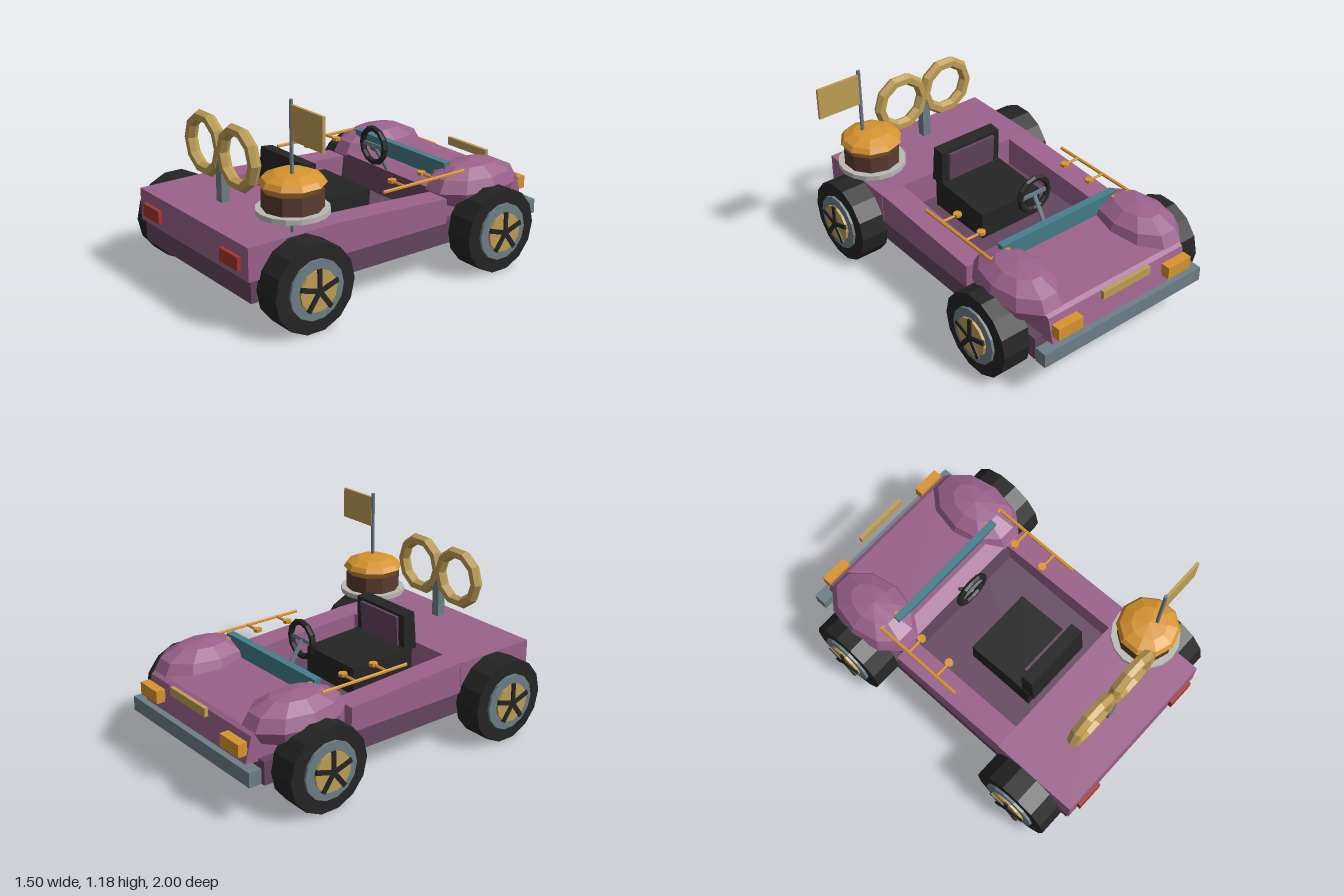
import * as THREE from 'three';

const mat = (name, color) => {
  const m = new THREE.MeshStandardMaterial({ color, flatShading: true });
  m.name = name;
  return m;
};

export function createModel() {
  const pink = mat('pink paint', 0x9c628c), plum = mat('dark plum', 0x64465f);
  const black = mat('black rubber', 0x252525), steel = mat('steel', 0x6d7f88);
  const gold = mat('pale gold', 0xbf9e55), orange = mat('orange', 0xd8942f);
  const teal = mat('teal glass', 0x457f8c), red = mat('red lens', 0xa3352c);
  const brown = mat('brown', 0x5b3c30), pale = mat('pale grey', 0xb9bab3);

  const model = new THREE.Group();
  const car = new THREE.Group();
  car.name = 'car';
  car.position.x = -0.018;
  model.add(car);

  const add = (name, geo, material, x = 0, y = 0, z = 0, parent = car) => {
    const m = new THREE.Mesh(geo, material);
    m.name = name;
    m.position.set(x, y, z);
    parent.add(m);
    return m;
  };
  // box given by its limits
  const box = (name, material, x0, x1, y0, y1, z0, z1, parent) =>
    add(name, new THREE.BoxGeometry(x1 - x0, y1 - y0, z1 - z0), material,
      (x0 + x1) / 2, (y0 + y1) / 2, (z0 + z1) / 2, parent);
  // side profile of [z, y] points, extruded across x
  const slab = (name, material, pts, x0, x1) => {
    const geo = new THREE.ExtrudeGeometry(
      new THREE.Shape(pts.map(p => new THREE.Vector2(p[0], p[1]))),
      { depth: x1 - x0, bevelEnabled: false });
    geo.rotateY(-Math.PI / 2);
    return add(name, geo, material, x1, 0, 0);
  };
  // round rod between two points
  const rod = (name, material, a, b, r, sides = 6) => {
    const A = new THREE.Vector3(...a), B = new THREE.Vector3(...b);
    const m = add(name, new THREE.CylinderGeometry(r, r, A.distanceTo(B), sides), material);
    m.position.copy(A).add(B).multiplyScalar(0.5);
    m.quaternion.setFromUnitVectors(new THREE.Vector3(0, 1, 0), B.sub(A).normalize());
    return m;
  };

  // lower body and cabin floor
  box('chassis', plum, -0.53, 0.53, 0.18, 0.315, -0.885, 0.957);
  // upper body
  box('rearDeck', pink, -0.543, 0.543, 0.305, 0.49, 0.45, 0.977);
  slab('nose', pink, [[-0.33, 0.3], [-0.33, 0.47], [-0.42, 0.495], [-0.9, 0.465], [-0.925, 0.45],
    [-0.965, 0.3]], -0.48, 0.48);
  slab('dashboard', plum, [[-0.33, 0.3], [-0.31, 0.31], [-0.33, 0.47]], -0.394, 0.394);

  for (const s of [-1, 1]) {
    // side sills beside the cabin
    slab('sideSill', pink, [[0.45, 0.305], [0.45, 0.49], [-0.33, 0.45], [-0.33, 0.305]],
      s > 0 ? 0.394 : -0.54, s > 0 ? 0.54 : -0.394);
    // domed front fender
    const fender = add('frontFender', new THREE.SphereGeometry(1, 10, 6), pink, s * 0.425, 0.46, -0.615);
    fender.scale.set(0.197, 0.14, 0.305);

    // lights
    box('tailLight', red, s * 0.393 - 0.083, s * 0.393 + 0.083, 0.35, 0.424, 0.97, 1);
    box('headLight', orange, s * 0.39 - 0.083, s * 0.39 + 0.083, 0.35, 0.424, -1, -0.945);

    // handrail with knobbed brackets
    rod('handrail', orange, [s * 0.495, 0.568, -0.49], [s * 0.495, 0.568, 0.085], 0.01);
    for (const z of [-0.48, -0.27, -0.06]) {
      rod('railBracket', orange, [s * 0.495, 0.57, z], [s * 0.39, 0.57, z], 0.008);
      add('railKnob', new THREE.CylinderGeometry(0.025, 0.025, 0.018, 8), orange, s * 0.39, 0.572, z);
    }

    // wheels
    for (const z of [0.68, -0.6]) {
      const wheel = new THREE.Group();
      wheel.name = z > 0 ? 'rearWheel' : 'frontWheel';
      wheel.position.set(0, 0.245, z);
      car.add(wheel);
      const disc = (name, material, r, x0, x1, sides) => {
        const geo = new THREE.CylinderGeometry(r, r, x1 - x0, sides);
        geo.rotateZ(Math.PI / 2);
        add(name, geo, material, s * (x0 + x1) / 2, 0, 0, wheel);
      };
      disc('tire', black, 0.245, 0.527, 0.698, 14);
      disc('rim', steel, 0.165, 0.6, 0.713, 14);
      disc('hubDisc', gold, 0.113, 0.65, 0.728, 14);
      for (let i = 0; i < 5; i++) {
        const geo = new THREE.BoxGeometry(0.012, 0.12, 0.026);
        geo.translate(0, 0.06, 0);
        const spoke = add('spoke', geo, black, s * 0.731, 0, 0, wheel);
        spoke.rotation.x = i * Math.PI * 2 / 5;
      }
    }

    // upright rings on the rear deck
    add('deckRing', new THREE.TorusGeometry(0.15, 0.035, 6, 10), gold, s * 0.16, 0.81, 0.775);
  }
  box('ringPost', steel, -0.026, 0.026, 0.53, 0.77, 0.75, 0.8);

  // nose trim and bumper
  box('bumper', steel, -0.562, 0.562, 0.22, 0.305, -1, -0.925);
  box('noseBar', gold, -0.167, 0.167, 0.455, 0.505, -0.995, -0.973);

  // raked windscreen
  slab('windscreen', teal, [[-0.465, 0.485], [-0.45, 0.485], [-0.425, 0.6], [-0.47, 0.6]], -0.404, 0.404);

  // steering wheel and column
  add('steeringWheel', new THREE.TorusGeometry(0.1, 0.018, 6, 12), black, 0, 0.637, -0.245);
  rod('steeringColumn', steel, [0, 0.635, -0.245], [0, 0.45, -0.36], 0.013);
  box('steeringSpoke', steel, -0.095, 0.095, 0.625, 0.648, -0.25, -0.24);

  // seat
  slab('seatBase', black, [[-0.05, 0.31], [-0.05, 0.475], [0.38, 0.5], [0.38, 0.31]], -0.21, 0.21);
  slab('seatBack', black, [[0.415, 0.48], [0.393, 0.705], [0.318, 0.697], [0.325, 0.48]], -0.207, 0.207);
  slab('seatPanel', plum, [[0.335, 0.5], [0.32, 0.68], [0.3, 0.68], [0.315, 0.5]], -0.16, 0.16);

  // stacked bun on a plate
  const bx = 0.463, bz = 0.65;
  add('plate', new THREE.CylinderGeometry(0.195, 0.195, 0.028, 16), pale, bx, 0.595, bz);
  add('bunFilling', new THREE.CylinderGeometry(0.162, 0.162, 0.1, 10), brown, bx, 0.657, bz);
  const bun = [[0, 0.7], [0.14, 0.7], [0.178, 0.742], [0.16, 0.77], [0.1, 0.797], [0, 0.81]];
  add('bunTop', new THREE.LatheGeometry(bun.map(p => new THREE.Vector2(p[0], p[1])), 10), orange, bx, 0, bz);

  // flag on its pole
  rod('flagPole', steel, [0.498, 0.48, 0.677], [0.498, 1.185, 0.677], 0.011);
  box('flag', gold, 0.506, 0.768, 0.977, 1.16, 0.669, 0.685);

  return model;
}
